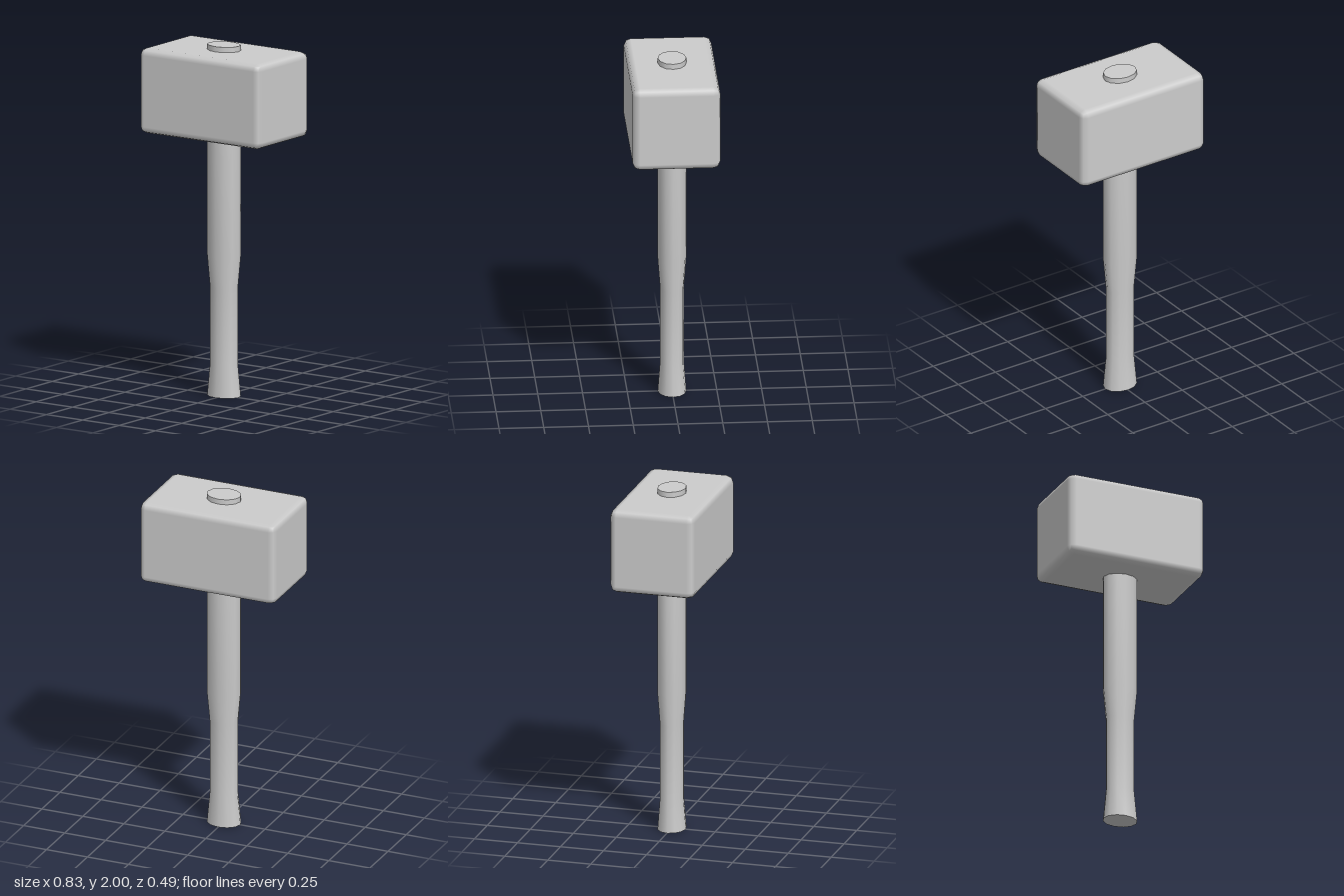
import * as THREE from 'three';
import { toCreasedNormals } from 'three/addons/utils/BufferGeometryUtils.js';
import { RoundedBoxGeometry } from 'three/addons/geometries/RoundedBoxGeometry.js';

export function createModel() {
  const model = new THREE.Group();
  model.name = 'mallet';
  const material = new THREE.MeshStandardMaterial({ color: 0xcccccc });

  // Handle: twelve-sided oval shaft with a narrow grip, running through the head
  const profile = [
    [0, 0], [0.1, 0], [0.083, 0.18], [0.083, 0.62], [0.1, 0.8], [0.1, 2], [0, 2],
  ].map(([r, y]) => new THREE.Vector2(r, y));
  const shaft = new THREE.LatheGeometry(profile, 12).scale(1, 1, 0.8);
  const handle = new THREE.Mesh(toCreasedNormals(shaft, 0.75), material);
  handle.name = 'handle';
  model.add(handle);

  // Head: block with two-step rounded edges
  const head = new THREE.Mesh(new RoundedBoxGeometry(0.83, 0.486, 0.49, 1, 0.04), material);
  head.name = 'head';
  head.position.y = 1.727;
  model.add(head);

  return model;
}
